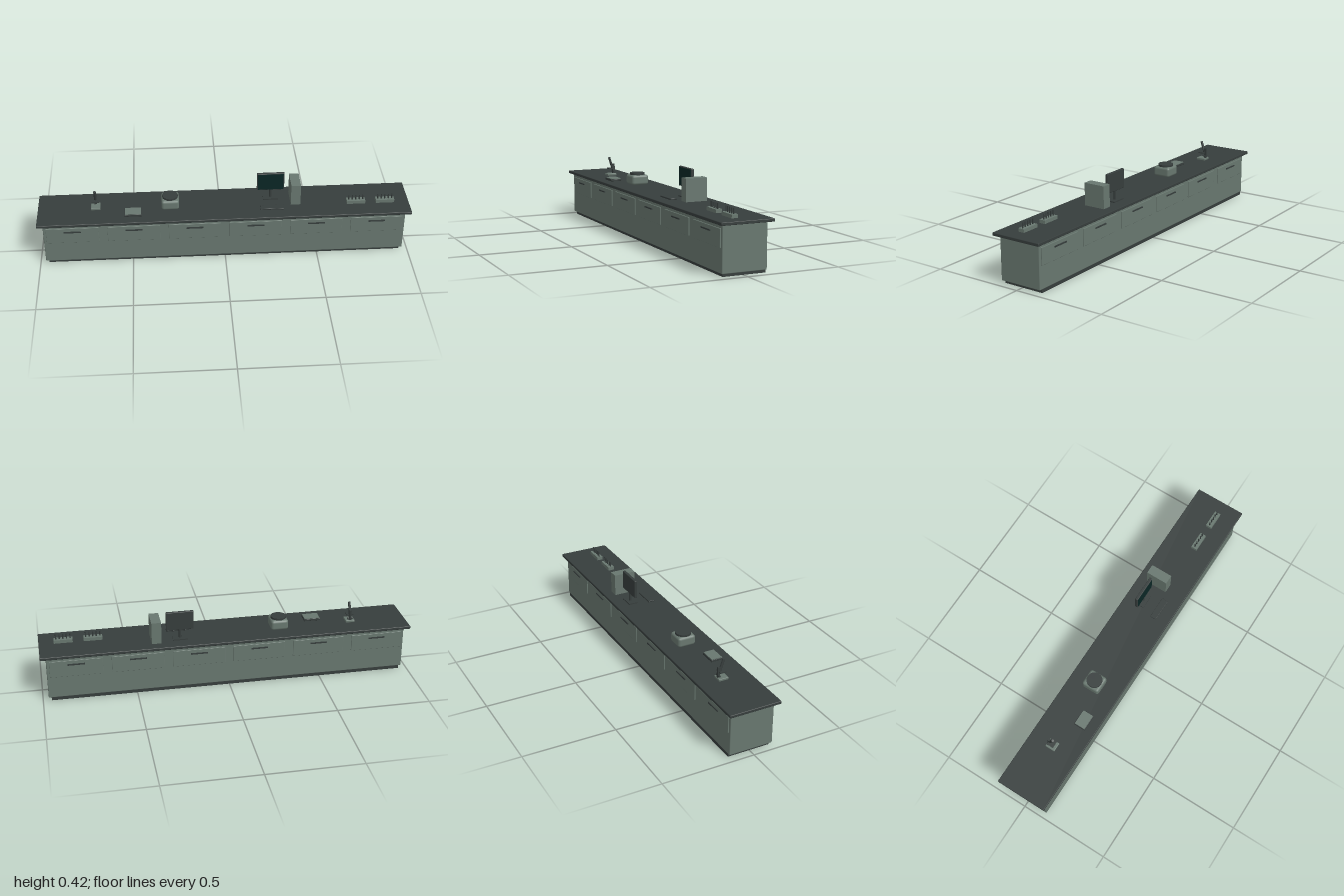
import * as THREE from 'three';
import { RoundedBoxGeometry } from 'three/addons/geometries/RoundedBoxGeometry.js';

export function createModel() {
  const model = new THREE.Group();
  const flat = (name, color) => {
    const m = new THREE.MeshStandardMaterial({ color });
    m.name = name;
    return m;
  };
  const grey = flat('grey green', 0x68776f);
  const dark = flat('charcoal', 0x363d3c);
  const glass = flat('dark teal', 0x0a2625);

  const add = (name, geo, mat, x, y, z, parent = model) => {
    const mesh = new THREE.Mesh(geo, mat);
    mesh.name = name;
    mesh.position.set(x, y, z);
    parent.add(mesh);
    return mesh;
  };
  // Box given by its bottom centre; r rounds the edges
  const box = (name, mat, w, h, d, x, y, z, r = 0, parent = model) =>
    add(name, r ? new RoundedBoxGeometry(w, h, d, 2, r) : new THREE.BoxGeometry(w, h, d),
      mat, x, y + h / 2, z, parent);
  const rod = (name, mat, r, h, x, y, z, parent = model) =>
    add(name, new THREE.CylinderGeometry(r, r, h, 16), mat, x, y + h / 2, z, parent);
  const group = (name) => {
    const g = new THREE.Group();
    g.name = name;
    model.add(g);
    return g;
  };

  // Bench
  const top = 0.266;
  box('plinth', dark, 1.91, 0.018, 0.229, 0, 0, -0.0055);
  box('cabinet', grey, 1.94, 0.234, 0.24, 0, 0.016, 0, 0.004);
  box('countertop', dark, 2, 0.016, 0.284, 0, 0.25, 0, 0.003);

  // Drawer fronts and handles on both long sides
  for (const side of [1, -1]) {
    for (let i = 0; i < 6; i++) {
      const x = (i - 2.5) * 0.326;
      box('drawerFront', grey, 0.28, 0.092, 0.008, x, 0.138, side * 0.121, 0.002);
      box('drawerHandle', dark, 0.09, 0.007, 0.008, x, 0.2035, side * 0.126);
    }
  }

  // Microscope
  const scope = group('microscope');
  box('microscopeBase', grey, 0.05, 0.013, 0.055, -0.69, top, -0.01, 0.003, scope);
  box('microscopeArm', dark, 0.012, 0.06, 0.012, -0.69, top + 0.01, -0.028, 0, scope);
  box('microscopeStage', dark, 0.038, 0.005, 0.035, -0.69, 0.306, -0.01, 0, scope);
  rod('microscopeTube', dark, 0.007, 0.075, -0.69, 0.301, -0.012, scope).rotation.x = 0.32;
  for (const s of [-1, 1]) {
    rod('focusKnob', dark, 0.006, 0.008, -0.69 + s * 0.01, 0.285, -0.028, scope).rotation.z = Math.PI / 2;
  }

  // Hot plate
  box('hotplateBody', dark, 0.09, 0.012, 0.065, -0.49, top, 0.055, 0.002);
  box('hotplateTop', grey, 0.084, 0.003, 0.059, -0.49, top + 0.012, 0.055);

  // Centrifuge
  box('centrifugeBody', grey, 0.095, 0.056, 0.1, -0.29, top, -0.008, 0.014);
  rod('centrifugeLid', dark, 0.042, 0.011, -0.29, 0.321, -0.008);

  // Computer
  const pc = group('computer');
  box('monitorFoot', dark, 0.08, 0.006, 0.05, 0.255, top, -0.047, 0, pc);
  rod('monitorPost', dark, 0.007, 0.06, 0.255, top, -0.047, pc);
  box('monitorCase', dark, 0.148, 0.104, 0.016, 0.255, 0.319, -0.047, 0.003, pc);
  box('monitorScreen', glass, 0.138, 0.095, 0.002, 0.255, 0.3235, -0.0385, 0, pc);
  box('keyboard', dark, 0.125, 0.008, 0.036, 0.255, top, 0.055, 0.002, pc);
  box('computerTower', grey, 0.052, 0.121, 0.12, 0.385, top, -0.029, 0, pc);

  // Test tube racks
  for (const x of [0.712, 0.87]) {
    const rack = group('tubeRack');
    box('rackBase', grey, 0.1, 0.018, 0.034, x, top, 0.028, 0, rack);
    for (let i = -2; i <= 2; i++) {
      rod('testTube', dark, 0.0035, 0.045, x + i * 0.019, top + 0.002, 0.028, rack);
    }
  }
  return model;
}
